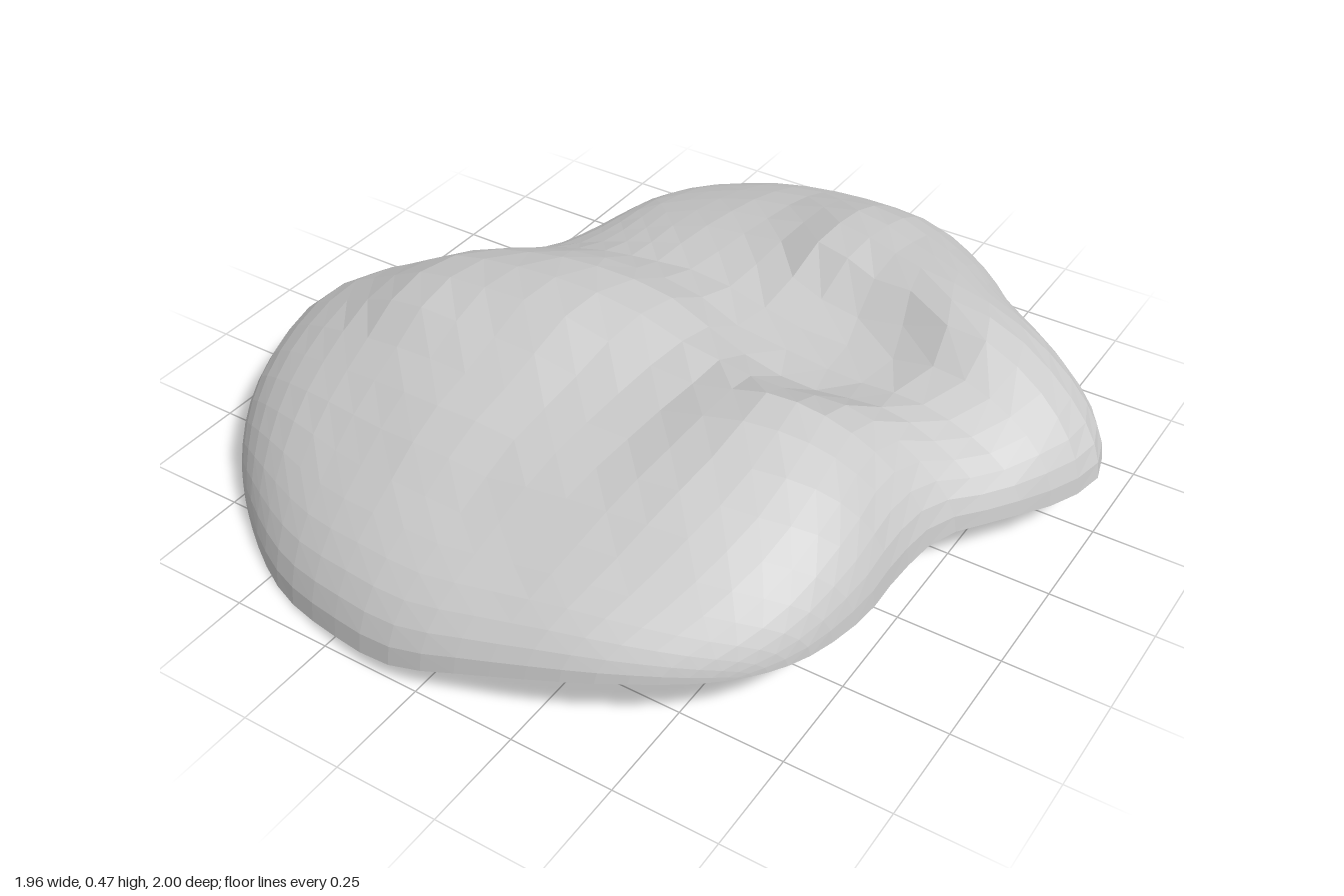
import * as THREE from 'three';

// Rim of the shell, anticlockwise from the front: x, y, z
const RIM = [
  [-0.07, 0.04, 1.0], [0.12, 0.09, 0.97], [0.42, 0.15, 0.88], [0.61, 0.16, 0.76], [0.71, 0.16, 0.63],
  [0.76, 0.16, 0.45], [0.76, 0.155, 0.28], [0.78, 0.15, 0.12], [0.87, 0.14, -0.03], [0.95, 0.13, -0.17],
  [0.98, 0.13, -0.29], [0.93, 0.13, -0.41], [0.84, 0.13, -0.5], [0.61, 0.13, -0.67], [0.46, 0.12, -0.83],
  [0.27, 0.12, -0.96], [0.08, 0.12, -1.0], [-0.1, 0.12, -1.0], [-0.27, 0.12, -0.97], [-0.43, 0.12, -0.88],
  [-0.52, 0.12, -0.75], [-0.56, 0.12, -0.58], [-0.59, 0.12, -0.38], [-0.62, 0.12, -0.26], [-0.73, 0.11, -0.12],
  [-0.86, 0.1, 0.01], [-0.95, 0.09, 0.12], [-0.98, 0.08, 0.25], [-0.92, 0.05, 0.48], [-0.82, 0.03, 0.64],
  [-0.66, 0.01, 0.79], [-0.45, 0.0, 0.92], [-0.24, 0.02, 0.98],
];

// Heights of the humps and the valley between them: x, z, height
const HEIGHTS = [
  // front ridge
  [-0.25, 0.12, 0.49], [-0.08, 0.05, 0.47], [0.16, 0.2, 0.42], [0.47, 0.26, 0.5], [0.62, 0.3, 0.55], [0.64, 0.13, 0.48],
  [-0.5, 0.2, 0.48], [-0.85, 0.25, 0.41], [-0.75, 0.0, 0.38], [-0.45, 0.0, 0.43], [-0.25, 0.0, 0.45],
  // front slope
  [-0.3, 0.5, 0.42], [0.1, 0.52, 0.41], [0.45, 0.55, 0.47], [-0.6, 0.55, 0.4],
  [0.0, 0.85, 0.36], [0.4, 0.8, 0.38], [-0.4, 0.8, 0.36],
  // valley
  [0.4, -0.04, 0.31], [0.68, -0.06, 0.33], [0.15, -0.16, 0.32], [-0.15, -0.2, 0.33], [-0.45, -0.22, 0.35], [0.36, -0.2, 0.31],
  // back lobes
  [0.5, -0.48, 0.5], [0.73, -0.35, 0.51], [0.9, -0.28, 0.44], [0.25, -0.52, 0.43], [-0.1, -0.5, 0.34], [-0.4, -0.5, 0.31],
  [0.2, -0.75, 0.45], [0.1, -0.9, 0.37], [-0.15, -0.78, 0.36], [-0.35, -0.78, 0.29],
];

// Smooth blend of the nearby control heights
function heightAt(x, z) {
  let sum = 0, total = 0;
  for (const [cx, cz, h] of HEIGHTS) {
    const w = Math.exp(-((x - cx) ** 2 + (z - cz) ** 2) / (2 * 0.12 ** 2)) + 1e-9;
    sum += w * h;
    total += w;
  }
  return sum / total;
}

// Square grid wrapped onto the outline, domed and rounded over at the rim
function shellGeometry(divisions) {
  const curve = new THREE.CatmullRomCurve3(RIM.map((p) => new THREE.Vector3(...p)), true);
  const geometry = new THREE.PlaneGeometry(2, 2, divisions, divisions);
  const position = geometry.attributes.position;
  for (let i = 0; i < position.count; i++) {
    const u = Math.sin(position.getX(i) * Math.PI / 2), v = Math.sin(position.getY(i) * Math.PI / 2);
    const diskU = u * Math.sqrt(1 - v * v / 2), diskV = v * Math.sqrt(1 - u * u / 2);
    const t = Math.min(1, Math.hypot(diskU, diskV));
    const turn = Math.atan2(diskV, diskU) / (2 * Math.PI);
    const rim = curve.getPointAt((turn + 1) % 1);
    const rise = Math.sqrt(1 - t ** 3);
    const x = rim.x * t, z = rim.z * t;
    position.setXYZ(i, x, Math.max(0, rim.y + (heightAt(x, z) - rim.y) * rise), z);
  }
  geometry.computeVertexNormals();
  return geometry;
}

export function createModel() {
  const group = new THREE.Group();
  group.name = 'rock';
  // Thin lumpy shell, open underneath
  const material = new THREE.MeshStandardMaterial({ color: 0xcccccc, flatShading: true, side: THREE.DoubleSide });
  const shell = new THREE.Mesh(shellGeometry(26), material);
  shell.name = 'rockShell';
  group.add(shell);
  return group;
}
